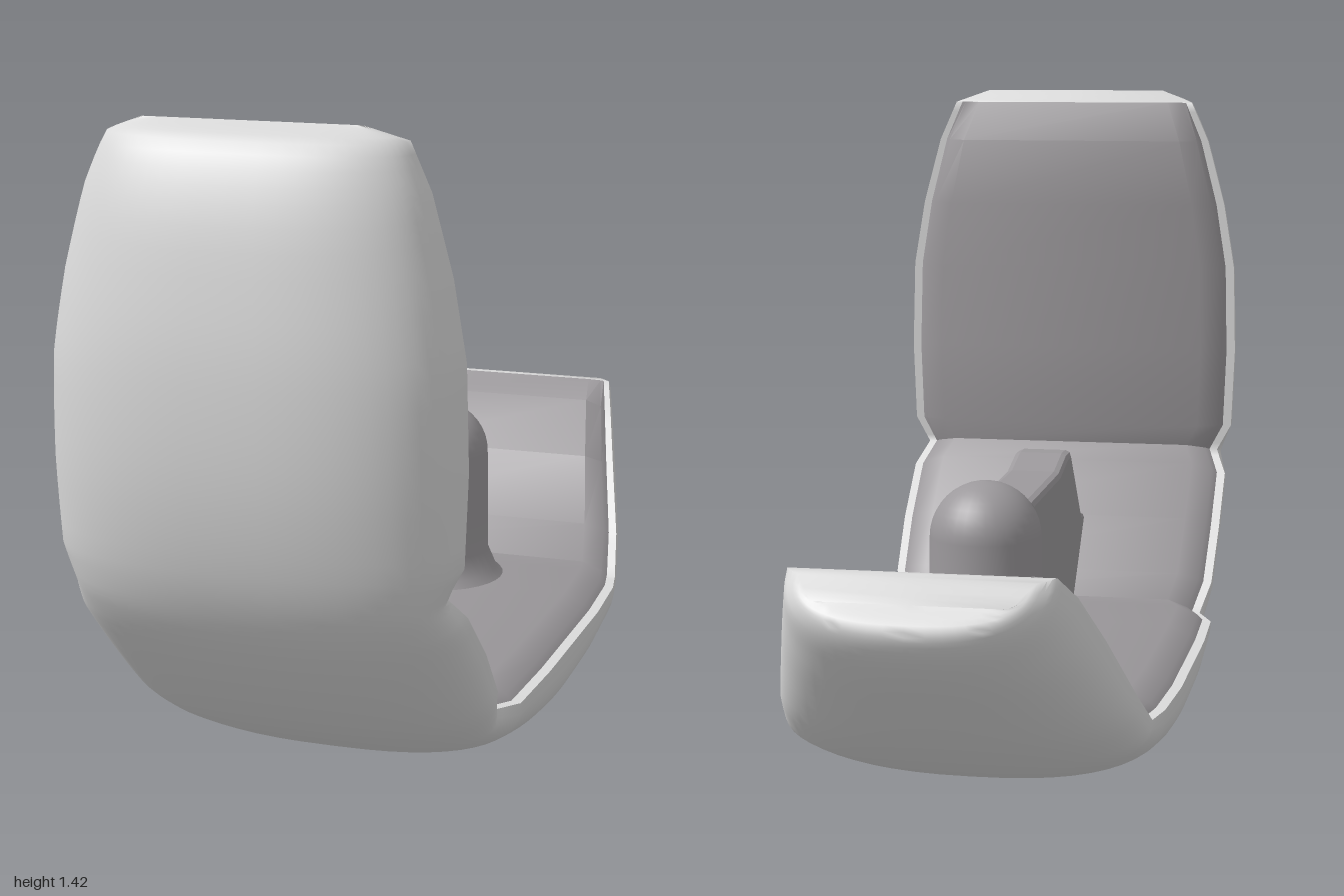
import * as THREE from 'three';
import { toCreasedNormals } from 'three/addons/utils/BufferGeometryUtils.js';

// Stations from the front tip, under the floor, to the back tip:
// inner z, inner y, outer z, outer y, rim half-width, outer half-width
const stations = [
  [0.825, 1.418, 0.825, 1.418, 0.21, 0.21],
  [0.79, 1.39, 0.9, 1.39, 0.285, 0.285],
  [0.79, 1.3, 0.95, 1.29, 0.325, 0.325],
  [0.79, 1.15, 0.985, 1.12, 0.365, 0.365],
  [0.79, 1.0, 1.0, 0.97, 0.39, 0.39],
  [0.79, 0.8, 0.995, 0.78, 0.395, 0.395],
  [0.79, 0.62, 0.965, 0.62, 0.388, 0.395],
  [0.79, 0.56, 0.93, 0.53, 0.355, 0.395],
  [0.74, 0.51, 0.88, 0.45, 0.38, 0.39],
  [0.62, 0.4, 0.76, 0.32, 0.38, 0.39],
  [0.52, 0.29, 0.62, 0.205, 0.375, 0.39],
  [0.46, 0.23, 0.5, 0.135, 0.355, 0.39],
  [0.4, 0.225, 0.41, 0.09, 0.388, 0.39],
  [0.2, 0.225, 0.2, 0.03, 0.395, 0.395],
  [0, 0.225, 0, 0.002, 0.395, 0.395],
  [-0.2, 0.225, -0.2, 0.025, 0.395, 0.395],
  [-0.38, 0.225, -0.41, 0.075, 0.385, 0.39],
  [-0.46, 0.225, -0.55, 0.13, 0.37, 0.375],
  [-0.55, 0.3, -0.69, 0.21, 0.35, 0.355],
  [-0.67, 0.43, -0.83, 0.315, 0.31, 0.315],
  [-0.78, 0.535, -0.94, 0.41, 0.275, 0.275],
  [-0.86, 0.588, -0.99, 0.47, 0.25, 0.25],
  [-0.9, 0.585, -1.0, 0.51, 0.22, 0.22],
  [-0.96, 0.55, -0.96, 0.55, 0.18, 0.18],
];

// Skin over rows of points
function loft(rows, flip, crease) {
  const pos = rows.flat().flatMap((p) => [p.x, p.y, p.z]);
  const n = rows[0].length, index = [];
  for (let i = 0; i < rows.length - 1; i++) {
    for (let j = 0; j < n - 1; j++) {
      const a = i * n + j, b = a + 1, c = a + n, d = c + 1;
      if (flip) index.push(a, c, b, b, c, d);
      else index.push(a, b, c, b, d, c);
    }
  }
  const g = new THREE.BufferGeometry();
  g.setAttribute('position', new THREE.Float32BufferAttribute(pos, 3));
  g.setIndex(index);
  return toCreasedNormals(g, crease);
}

// Curved hull: rounded outside, straight-edged inside
function shellGeometry() {
  const outer = new THREE.CatmullRomCurve3(stations.map((s) => new THREE.Vector3(s[5], s[3], s[2])));
  const rows = [], sub = 4, last = stations.length - 1;
  for (let k = 0; k <= last * sub; k++) {
    const i = Math.min(Math.floor(k / sub), last - 1), f = k / sub - i;
    const [iz, iy, , , w] = stations[i].map((v, c) => THREE.MathUtils.lerp(v, stations[i + 1][c], f));
    const o = outer.getPoint(k / (last * sub));
    const row = [new THREE.Vector3(0, iy, iz)];
    for (let j = 0; j <= 28; j++) {
      const t = (j / 28) * Math.PI;
      const c = Math.cos(t), s = Math.max(0, Math.sin(t));
      const depth = j === 28 ? 0 : Math.pow(s, 0.8);
      const width = THREE.MathUtils.lerp(w, o.x, depth);
      row.push(new THREE.Vector3(
        width * Math.sign(c) * Math.pow(Math.abs(c), 0.8),
        THREE.MathUtils.lerp(iy, o.y, depth),
        THREE.MathUtils.lerp(iz, o.z, depth)));
    }
    row.push(row[0].clone());
    rows.push(row);
  }
  return loft(rows, false, 0.9);
}

// Raised lining that follows the inside of the hull
function liningGeometry() {
  const half = [[0.95, 0.003], [0.92, 0.015], [0.8, 0.035]];
  const profile = [...half, ...half.map(([x, h]) => [-x, h]).reverse()];
  const rows = [], first = 1, end = 21;
  for (let i = first; i <= end; i++) {
    const [z, y, , , w] = stations[i];
    const dir = (a, b) => new THREE.Vector2(b[0] - a[0], b[1] - a[1]).normalize();
    const before = dir(stations[i - 1], stations[i]), after = dir(stations[i], stations[i + 1]);
    const d = i === first ? after : i === end ? before : before.add(after).normalize();
    const rise = i === first || i === end ? 0.08 : 1;
    rows.push(profile.map(([x, h]) => new THREE.Vector3(
      x * w, y - d.x * h * rise, z + d.y * h * rise)));
  }
  return loft(rows, true, 0.5);
}

// Side profile (z, y) given a thickness in x
function slab(points, width, bevel) {
  const shape = new THREE.Shape(points.map(([z, y]) => new THREE.Vector2(z, y)));
  const depth = width - 2 * bevel;
  const g = new THREE.ExtrudeGeometry(shape, {
    depth, bevelEnabled: true, bevelSize: bevel, bevelThickness: bevel, bevelOffset: -bevel, bevelSegments: 2,
  });
  g.translate(0, 0, -depth / 2);
  g.rotateY(-Math.PI / 2);
  return g;
}

export function createModel() {
  const model = new THREE.Group();
  const lightGrey = new THREE.MeshStandardMaterial({ color: 0xdadada });
  lightGrey.name = 'light grey';
  const midGrey = new THREE.MeshStandardMaterial({ color: 0x9c999c });
  midGrey.name = 'mid grey';

  const add = (name, geometry, material) => {
    const mesh = new THREE.Mesh(geometry, material);
    mesh.name = name;
    model.add(mesh);
    return mesh;
  };

  add('outerShell', shellGeometry(), lightGrey);
  add('innerLining', liningGeometry(), midGrey);

  // Central fin running into the front slope
  add('centreFin', slab([
    [-0.08, 0.23], [-0.08, 0.58], [0.26, 0.585], [0.36, 0.61], [0.41, 0.61],
    [0.56, 0.44], [0.62, 0.425], [0.46, 0.23],
  ], 0.125, 0.015), midGrey);

  // Narrow neck joining fin and post
  add('finNeck', slab([
    [-0.24, 0.23], [-0.24, 0.56], [-0.15, 0.56], [-0.06, 0.575], [-0.06, 0.23],
  ], 0.095, 0.015), midGrey);

  // Domed post with a small flared foot
  const outline = [[0.165, 0.245], [0.135, 0.275], [0.116, 0.32], [0.114, 0.541]];
  for (let i = 1; i <= 10; i++) {
    const t = (i / 10) * Math.PI / 2;
    outline.push([i === 10 ? 0 : 0.114 * Math.cos(t), 0.541 + 0.114 * Math.sin(t)]);
  }
  const post = add('domedPost', new THREE.LatheGeometry(
    outline.map(([r, y]) => new THREE.Vector2(r, y)), 32), midGrey);
  post.position.z = -0.272;

  return model;
}
